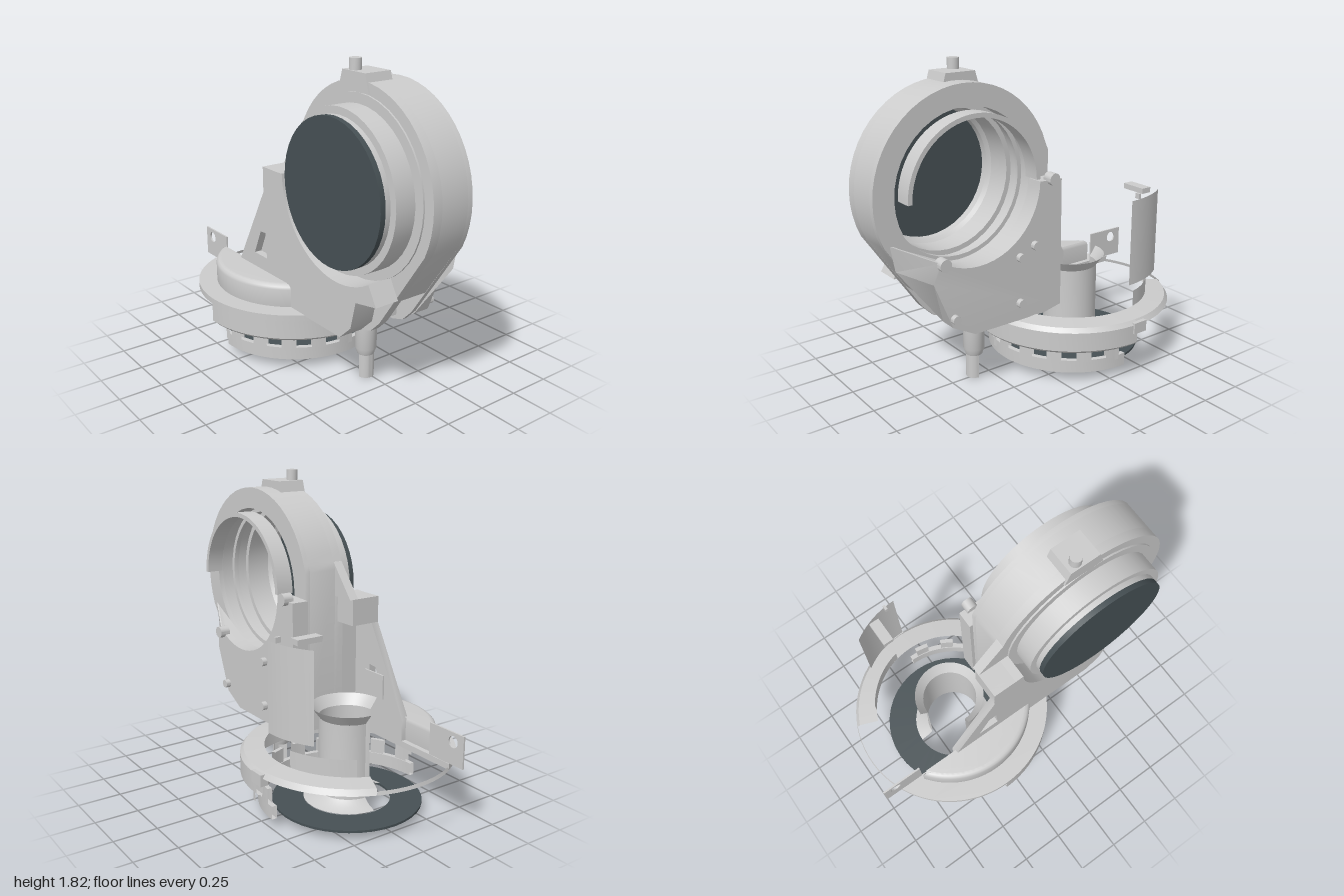
import * as THREE from 'three';
import { toCreasedNormals } from 'three/addons/utils/BufferGeometryUtils.js';

const grey = new THREE.MeshStandardMaterial({ color: 0xcccccc, side: THREE.DoubleSide });
const dark = new THREE.MeshStandardMaterial({ color: 0x465054, side: THREE.DoubleSide });
const CX = 0.44, CY = 1.17, BX = -0.36, PI = Math.PI;

export function createModel() {
  const root = new THREE.Group();

  const add = (name, geo, mat = grey, x = 0, y = 0, z = 0) => {
    const mesh = new THREE.Mesh(toCreasedNormals(geo, 0.6), mat);
    mesh.name = name;
    mesh.position.set(x, y, z);
    root.add(mesh);
    return mesh;
  };
  // points on a circle around the large housing axis, angles in degrees
  const arc = (r, a0, a1, n = 24) => Array.from({ length: n + 1 }, (_, i) => {
    const a = (a0 + (a1 - a0) * i / n) * PI / 180;
    return [CX + r * Math.cos(a), CY + r * Math.sin(a)];
  });
  const outline = (pts, hole) => {
    const s = new THREE.Shape(pts.map(p => new THREE.Vector2(...p)));
    if (hole) s.holes.push(new THREE.Path(hole.map(p => new THREE.Vector2(...p))));
    return s;
  };
  const slab = (shape, z0, z1) =>
    new THREE.ExtrudeGeometry(shape, { depth: z1 - z0, bevelEnabled: false }).translate(0, 0, z0);
  const lathe = (pts, a0 = 0, len = 2 * PI, n = 40) =>
    new THREE.LatheGeometry(pts.map(p => new THREE.Vector2(...p)), n, a0, len);
  const box = (name, x0, x1, y0, y1, z0, z1) =>
    add(name, new THREE.BoxGeometry(x1 - x0, y1 - y0, z1 - z0), grey, (x0 + x1) / 2, (y0 + y1) / 2, (z0 + z1) / 2);
  // lathe whose axis points along z, on the large housing axis
  const barrel = (name, pts, mat = grey, a0 = 0, len = 2 * PI) =>
    add(name, lathe(pts, a0, len, 40).rotateX(PI / 2), mat, CX, CY, 0);

  // --- Large upper housing, with a pocket cut into its lower corner ---
  const bodyPts = (corner) => [...arc(0.55, -25, 162, 28), [-0.1, 1.3], [-0.1, 0.375], ...corner];
  const full = [[0.47, 0.375], [0.55, 0.4], [0.62, 0.47]];
  const cut = [[0.44, 0.375], [0.5, 0.41], [0.5, 0.62], [0.72, 0.62]];
  const bore = arc(0.43, 0, 360, 40).slice(0, -1);
  [[-0.1, -0.07, full], [-0.07, 0.1, cut], [0.1, 0.155, full]].forEach(([z0, z1, c]) =>
    add('housing', slab(outline(bodyPts(c), bore), z0, z1)));

  // rear plate, flaring outwards to meet the housing
  const rear = slab(outline([[-0.12, 0.4], [0, 0.375], [0.47, 0.375], [0.61, 0.45], [0.72, 0.72], [0.68, 0.83],
    ...arc(0.41, -57, -178, 18), [-0.12, 1.15]]), -0.2, -0.1);
  const p = rear.attributes.position;
  for (let i = 0; i < p.count; i++) {
    if (p.getZ(i) > -0.15 && p.getX(i) > 0.62) {
      const k = p.getY(i) - 0.45;
      p.setXY(i, p.getX(i) + 0.6 * k, p.getY(i) + 0.3 * k);
    }
  }
  rear.computeVertexNormals();
  add('rearPlate', rear);

  // front shelf wrapped round the lower left of the barrel
  add('frontShelf', slab(outline([[-0.1, 1.15], ...arc(0.49, 182, 302, 20), [0.76, 0.65], [0.6, 0.62],
    [0.56, 0.46], [0.47, 0.375], [-0.1, 0.375]]), 0.155, 0.3));

  // barrel rings and lens
  barrel('barrelCollar', [[0.43, 0.15], [0.49, 0.15], [0.49, 0.165], [0.435, 0.165]]);
  barrel('barrel', [[0.4, 0.1], [0.435, 0.1], [0.435, 0.285], [0.395, 0.285], [0.395, 0.315], [0.38, 0.315], [0.38, 0.27], [0.4, 0.25], [0.4, 0.1]]);
  barrel('innerBand', [[0.43, 0], [0.405, 0], [0.405, 0.03], [0.43, 0.03]]);
  barrel('lens', [[0, 0.315], [0.395, 0.315], [0.395, 0.345], [0, 0.345]], dark);
  // upper half ring on the back
  barrel('rearHalfRing', [[0.41, -0.1], [0.41, -0.2], [0.385, -0.2], [0.385, -0.1]], grey, PI / 2, PI);

  // top lug and pin
  add('topLug', slab(outline([[0.28, 1.66], [0.52, 1.66], [0.49, 1.76], [0.31, 1.76]]), 0, 0.165));
  add('topPin', new THREE.CylinderGeometry(0.033, 0.033, 0.08, 16), grey, 0.365, 1.78, 0.125);

  // side bracket and sloping gusset
  box('sideBracket', -0.24, -0.1, 1.0, 1.15, 0.12, 0.3);
  add('gusset', slab(outline([[-0.24, 1.15], [0, 1.15], [0, 1.36], [-0.085, 1.34]]), 0.1, 0.155));
  // support leg with a recess
  add('leg', slab(outline(
    [[-0.24, 1.15], [-0.1, 1.15], [-0.1, 0.375], [-0.52, 0.375], [-0.52, 0.5], [-0.24, 1.0]],
    [[-0.35, 0.6], [-0.28, 0.75], [-0.23, 0.755], [-0.22, 0.6]]), 0.255, 0.3));
  box('legRecess', -0.36, -0.2, 0.58, 0.72, 0.245, 0.255);

  // rear screws
  [[-0.05, 1.16], [0.66, 0.82], [0.17, 0.75], [0.07, 0.8], [0.6, 0.5], [0.17, 0.48]].forEach(([x, y], i) =>
    add('rearScrew', new THREE.CylinderGeometry(i < 2 ? 0.035 : 0.025, i < 2 ? 0.035 : 0.025, 0.06, 14).rotateX(PI / 2), grey, x, y, -0.2));

  // --- Post under the housing ---
  add('post', lathe([[0, 0.375], [0.062, 0.375], [0.062, 0.18], [0.048, 0.14], [0, 0.14]], 0, 2 * PI, 24), grey, 0.342, 0, 0.013);
  add('postPin', new THREE.CylinderGeometry(0.048, 0.048, 0.2, 16, 1, false, 0, PI), grey, 0.342, 0.1, 0.013);

  // --- Round base: half drum, flanges and hood ---
  const base = (name, pts, a0, len, mat, n) => add(name, lathe(pts, a0, len, n), mat, BX);
  base('drumHalf', [[0.555, 0.35], [0.555, 0.22], [0.58, 0.22], [0.595, 0.235], [0.595, 0.345], [0.575, 0.37], [0.46, 0.38]], 0, PI);
  base('rearFlange', [[0.595, 0.34], [0.575, 0.37], [0.46, 0.38]], PI, 1.17, grey, 14);
  base('edgeStrip', [[0.595, 0.34], [0.59, 0.36]], 1.5 * PI - 0.4, 0.85, grey, 10);
  base('rearInnerWall', [[0.46, 0.38], [0.46, 0.475]], PI + 0.22, 0.8, grey, 12);
  box('rearKnob', -0.42, -0.33, 0.295, 0.36, -0.605, -0.56);

  // circular segment cut off by a chord, lying flat
  const segment = (name, r, chord, y0, y1, bevel) => {
    const a = Math.asin(chord / r), s = new THREE.Shape();
    s.absarc(0, 0, r, a, PI - a, false);
    const g = new THREE.ExtrudeGeometry(s, {
      depth: y1 - y0 - bevel, bevelEnabled: bevel > 0, bevelSize: bevel, bevelThickness: bevel,
      bevelOffset: -bevel, bevelSegments: 3, curveSegments: 28,
    });
    add(name, g.rotateX(PI / 2), grey, BX, y1 - bevel, 0);
  };
  segment('frontFlange', 0.595, 0.255, 0.345, 0.38, 0);
  segment('hood', 0.485, 0.285, 0.37, 0.515, 0.03);

  // tab with a round hole
  const tab = outline([[-1, 0.385], [-0.75, 0.385], [-0.75, 0.565], [-1, 0.565]]);
  tab.holes.push(new THREE.Path().absarc(-0.925, 0.513, 0.033, 0, 2 * PI, true));
  add('tab', slab(tab, 0.25, 0.26));

  // --- Notched ring, column and dark foot disc ---
  base('notchedRing', [[0.47, 0.055], [0.5, 0.055], [0.5, 0.13], [0.47, 0.13], [0.47, 0.055]], 0, PI);
  for (let i = 0; i < 9; i++) {
    const a = PI * (i + 0.5) / 9;
    base('tooth', [[0.475, 0.12], [0.5, 0.12], [0.5, 0.215], [0.475, 0.215], [0.475, 0.12]], a - 0.085, 0.17, grey, 3);
    if (i % 2 === 0) base('clip', [[0.555, 0.14], [0.555, 0.23]], a - 0.04, 0.05, grey, 2);
  }
  base('footDisc', [[0.245, 0.047], [0.42, 0.047], [0.42, 0.06], [0.245, 0.06], [0.245, 0.047]], 0, 2 * PI, dark);
  base('column', [[0.245, 0.065], [0.2, 0.08], [0.165, 0.11], [0.16, 0.2], [0.16, 0.54], [0.205, 0.6]], 0, 1.5 * PI);

  // --- Curved rear shield with its small lugs ---
  base('shield', [[0.515, 0.555], [0.515, 1.05]], PI, 0.586, grey, 10);
  box('shieldLug', -0.55, -0.49, 1.055, 1.085, -0.46, -0.31);
  box('shieldStub', -0.43, -0.415, 1.05, 1.08, -0.51, -0.48);

  return root;
}
